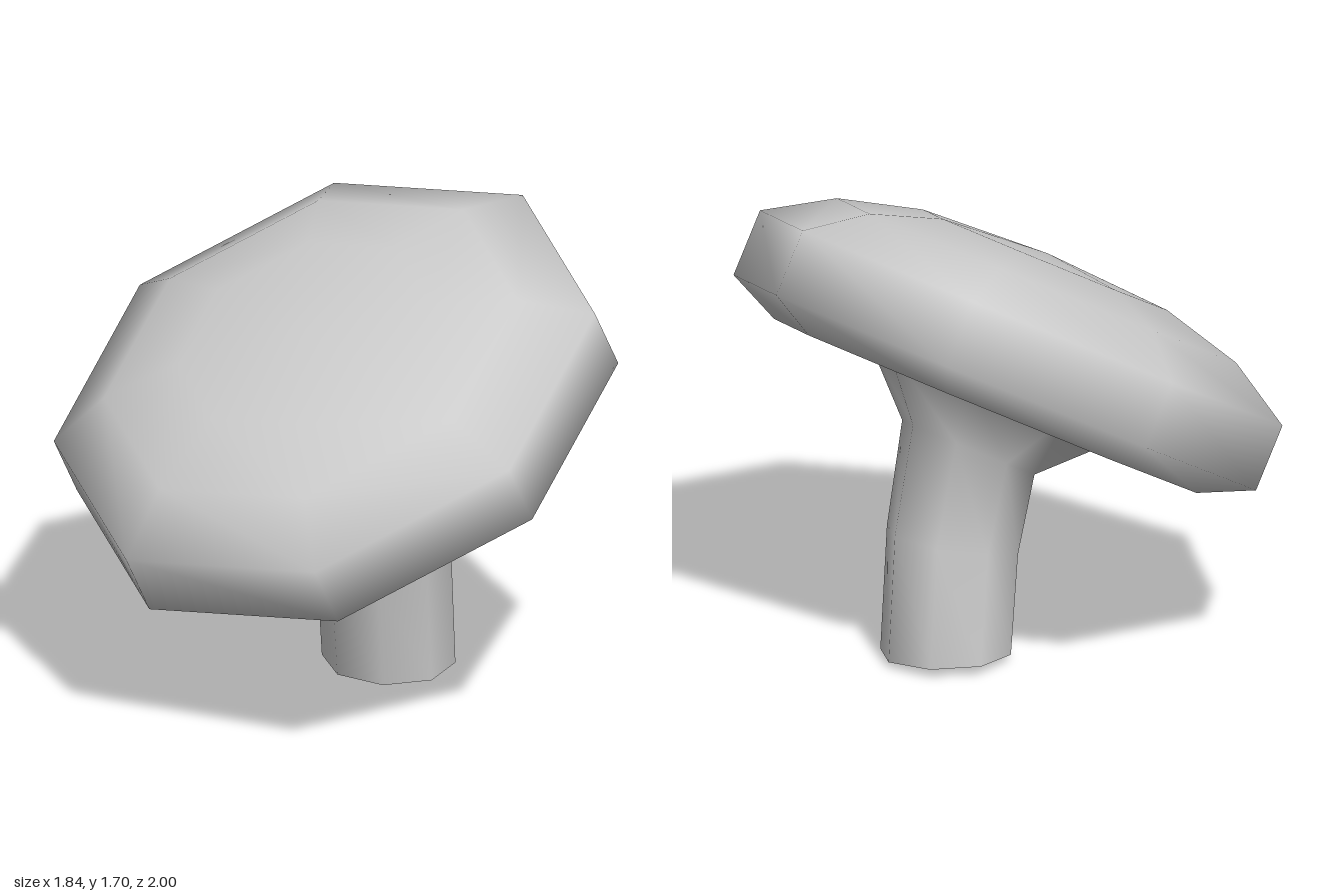
import * as THREE from 'three';

const SIDES = 8;
const V = (x, y, z) => new THREE.Vector3(x, y, z);

// tilted cap: centre, axis and the direction of its first corner
const CENTRE = V(0, 1.086, 0);
const AXIS = V(-0.441, 0.873, 0.209).normalize();
const CORNER = V(-0.842, -0.482, 0.24);

// one ring of the loft; radius 0 gives a single point
function ringPoints({ centre, normal, r }) {
  if (r === 0) return [centre.clone()];
  const u = CORNER.clone().addScaledVector(normal, -CORNER.dot(normal)).normalize();
  const v = normal.clone().cross(u);
  return Array.from({ length: SIDES }, (_, i) => {
    const a = (i / SIDES) * Math.PI * 2;
    return centre.clone().addScaledVector(u, r * Math.cos(a)).addScaledVector(v, r * Math.sin(a));
  });
}

// joins rings from top to bottom, returning geometry for each range of bands,
// with normals smoothed across the whole surface
function loft(rings, splitAt) {
  const points = [], starts = [], counts = [];
  for (const ring of rings) {
    const p = ringPoints(ring);
    starts.push(points.length);
    counts.push(p.length);
    points.push(...p);
  }
  const at = (k, j) => starts[k] + (j % counts[k]);
  const bands = (from, to) => {
    const index = [];
    for (let k = from; k < to; k++) {
      for (let j = 0; j < SIDES; j++) {
        const a = at(k, j), b = at(k + 1, j), c = at(k + 1, j + 1), d = at(k, j + 1);
        if (counts[k + 1] > 1) index.push(a, b, c);
        if (counts[k] > 1) index.push(a, c, d);
      }
    }
    return index;
  };
  const last = rings.length - 1;
  const whole = new THREE.BufferGeometry().setFromPoints(points);
  whole.setIndex(bands(0, last));
  whole.computeVertexNormals();
  return [[0, splitAt], [splitAt, last]].map(([from, to]) =>
    whole.clone().setIndex(bands(from, to)).toNonIndexed());
}

export function createModel() {
  const group = new THREE.Group();
  const grey = new THREE.MeshStandardMaterial({ color: 0xcccccc });
  grey.name = 'grey';

  const add = (name, geometry) => {
    const mesh = new THREE.Mesh(geometry, grey);
    mesh.name = name;
    group.add(mesh);
  };

  // cap profile as [radius, height along axis]: dome, rim, hollow underside, neck
  const capRings = [
    [0, 0.375], [0.48, 0.35], [0.785, 0.27], [1.027, 0.125],
    [1.027, -0.125], [0.83, -0.215], [0.5, -0.14], [0.26, -0.375],
  ].map(([r, h]) => ({ r, normal: AXIS, centre: CENTRE.clone().addScaledVector(AXIS, h) }));

  // stem bends from the cap axis to nearly upright
  const foot = { r: 0.24, normal: V(0, 1, 0.075).normalize(), centre: V(0.27, 0.02, -0.165) };
  const stemRings = [
    { r: 0.245, normal: V(-0.21, 1, 0.11).normalize(), centre: V(0.235, 0.43, -0.125) },
    foot,
  ];

  const [cap, stem] = loft([...capRings, ...stemRings], 6);
  add('cap', cap);
  add('stem', stem);

  // flat end under the stem
  const [base] = loft([foot, { ...foot, r: 0 }], 1);
  add('stemBase', base);

  return group;
}
